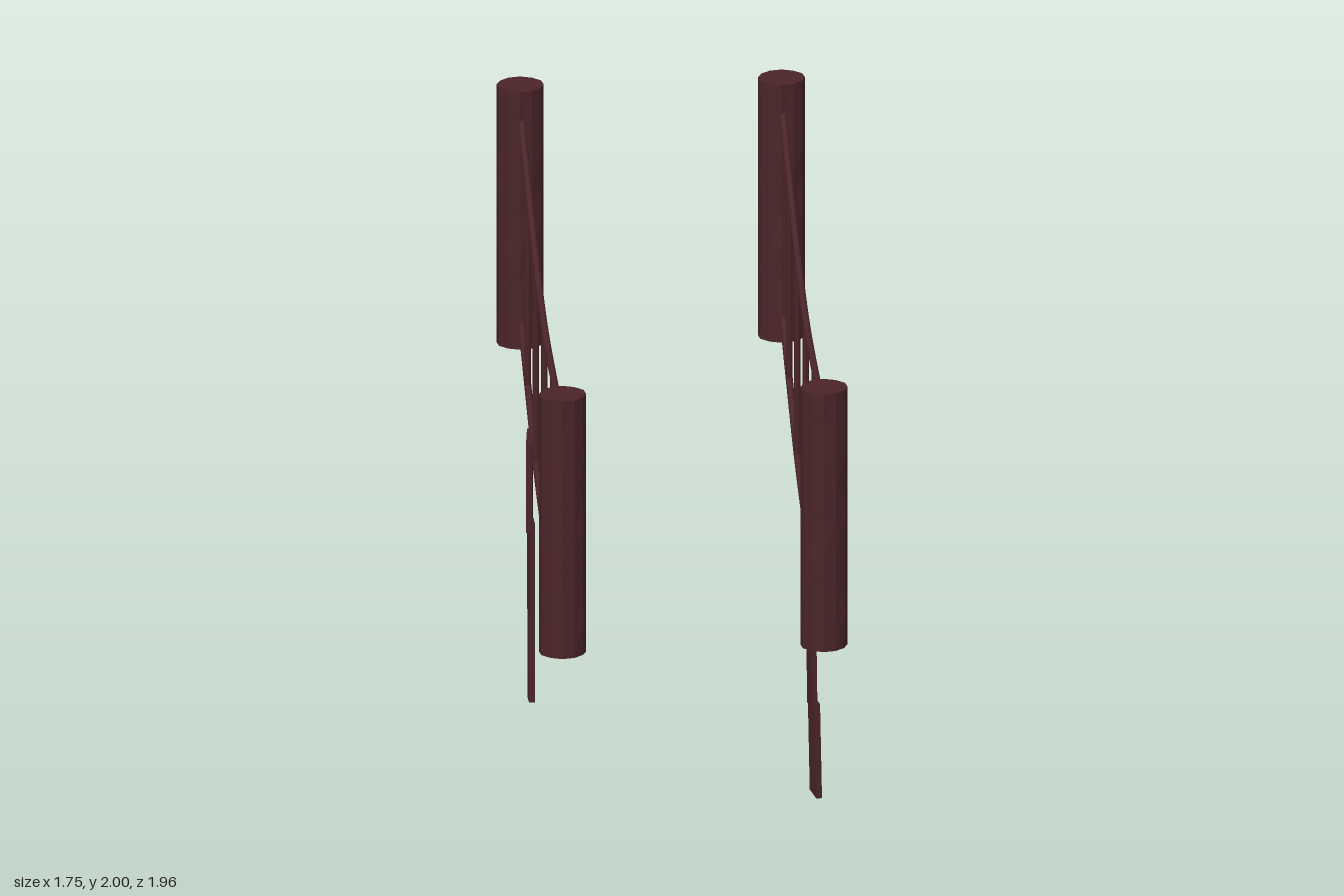
import * as THREE from 'three';

const wood = new THREE.MeshStandardMaterial({ color: 0x4a2428, flatShading: true, roughness: 0.9 });
const rope = new THREE.MeshStandardMaterial({ color: 0x4a2428, roughness: 0.9 });

// Top rope profile: [x along the span, height]
const SAG = [[-0.78, 1.91], [-0.625, 1.78], [-0.445, 1.64], [-0.255, 1.54], [-0.06, 1.5], [0.11, 1.485]];
const ROPE_GAP = 0.658;
const railZ = x => -0.45 + (x + 0.8) * 1.457;

function add(parent, name, geometry, material) {
  const mesh = new THREE.Mesh(geometry, material);
  mesh.name = name;
  parent.add(mesh);
  return mesh;
}

// Round log with a faintly uneven outline
function post(parent, name, x, z, bottom) {
  const geo = new THREE.CylinderGeometry(0.073, 0.073, 0.84, 12, 8);
  const p = geo.attributes.position;
  for (let i = 0; i < p.count; i++) {
    const y = p.getY(i);
    const a = Math.atan2(p.getZ(i), p.getX(i));
    const s = 1 + 0.025 * Math.sin(y * 23 + 2 * Math.cos(a)) * Math.cos(3 * a);
    p.setX(i, p.getX(i) * s);
    p.setZ(i, p.getZ(i) * s);
  }
  geo.computeVertexNormals();
  add(parent, name, geo, wood).position.set(x, bottom + 0.42, z);
}

// One side of the bridge: two posts, two sagging ropes, four uprights
function railing(name) {
  const g = new THREE.Group();
  g.name = name;
  post(g, 'highPost', -0.8, -0.45, 1.16);
  post(g, 'lowPost', 0.133, 0.905, 0.718);
  for (const [part, drop] of [['topRope', 0], ['bottomRope', ROPE_GAP]]) {
    const pts = SAG.map(([x, y]) => new THREE.Vector3(x, y - drop, railZ(x)));
    add(g, part, new THREE.TubeGeometry(new THREE.CatmullRomCurve3(pts), 40, 0.011, 8), rope);
  }
  for (const [x, y] of SAG.slice(1, 5)) {
    add(g, 'upright', new THREE.CylinderGeometry(0.0105, 0.0105, ROPE_GAP, 8), rope)
      .position.set(x, y - ROPE_GAP / 2, railZ(x));
  }
  return g;
}

// Thin upright board between two plan points; lean shifts its foot in z
function board(parent, name, [x0, z0], [x1, z1], y0, y1, lean = 0) {
  const geo = new THREE.BoxGeometry(Math.hypot(x1 - x0, z1 - z0), y1 - y0, 0.018);
  geo.rotateY(-Math.atan2(z1 - z0, x1 - x0));
  const p = geo.attributes.position;
  for (let i = 0; i < p.count; i++) if (p.getY(i) < 0) p.setZ(i, p.getZ(i) + lean);
  geo.computeVertexNormals();
  add(parent, name, geo, wood).position.set((x0 + x1) / 2, (y0 + y1) / 2, (z0 + z1) / 2);
}

export function createModel() {
  const model = new THREE.Group();
  model.name = 'ropeBridgeRailings';

  const right = railing('rightRailing');
  const left = railing('leftRailing');
  left.position.set(0.665, 0, -0.46);
  model.add(right, left);

  // Broken boards hanging under the right railing, stepped along one edge
  const rightBoards = new THREE.Group();
  rightBoards.name = 'rightHangingBoards';
  board(rightBoards, 'upperBoard', [-0.56, -0.095], [-0.496, 0.022], 0.73, 1.025);
  board(rightBoards, 'middleBoard', [-0.56, -0.095], [-0.514, -0.03], 0.44, 0.74);
  board(rightBoards, 'lowerBoard', [-0.56, -0.097], [-0.528, -0.052], 0.15, 0.45);

  // Broken boards hanging under the left railing
  const leftBoards = new THREE.Group();
  leftBoards.name = 'leftHangingBoards';
  board(leftBoards, 'upperBoard', [0.392, -0.165], [0.474, -0.08], 0.58, 0.875);
  board(leftBoards, 'middleBoard', [0.415, -0.125], [0.463, -0.07], 0.29, 0.6, -0.008);
  board(leftBoards, 'lowerBoard', [0.413, -0.14], [0.474, -0.075], 0, 0.31, -0.012);

  model.add(rightBoards, leftBoards);
  return model;
}
